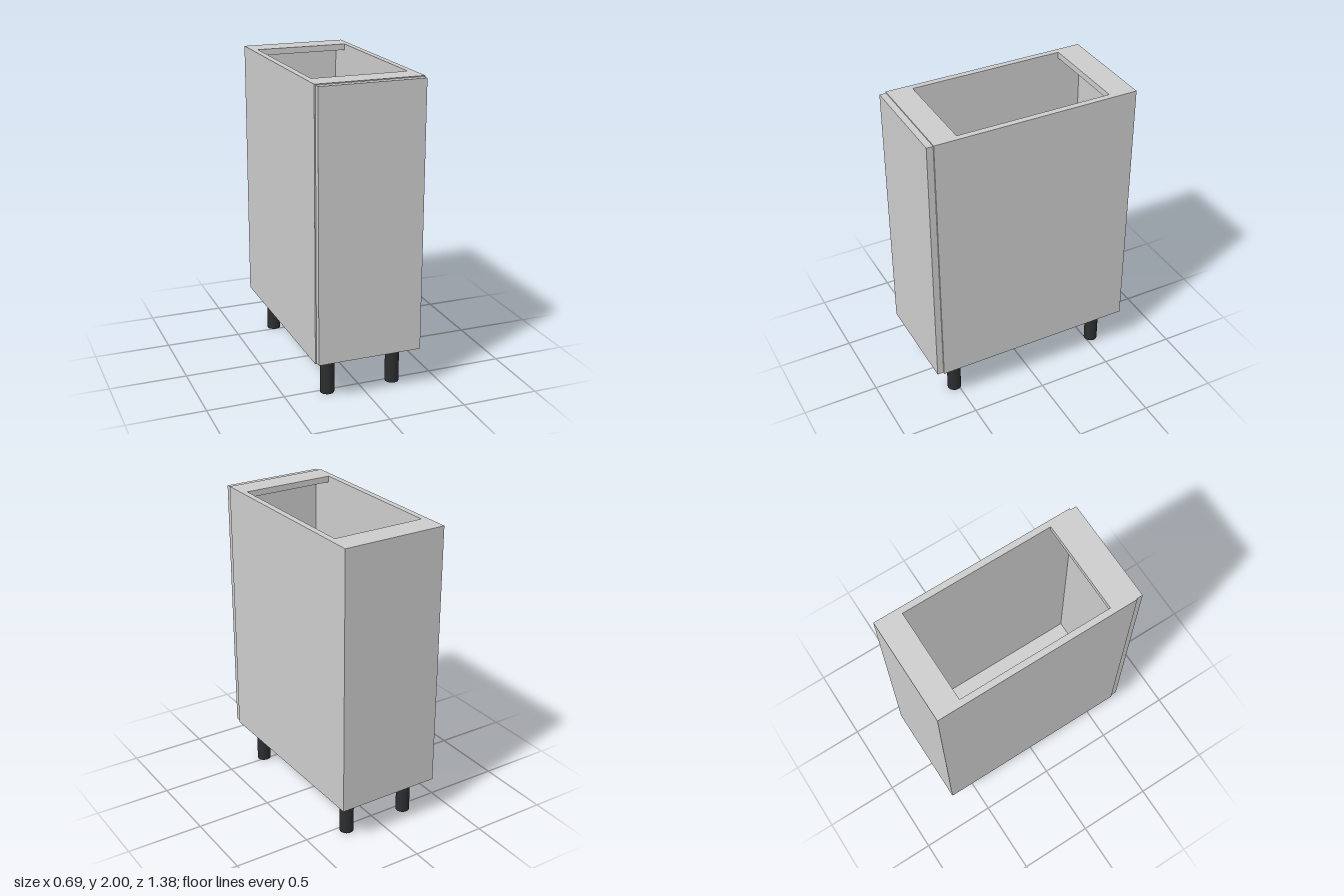
import * as THREE from 'three';

export function createModel() {
  const model = new THREE.Group();
  const panelMat = new THREE.MeshStandardMaterial({ color: 0xcccccc });
  const legMat = new THREE.MeshStandardMaterial({ color: 0x2b2d2e });

  // Box panel given by its min and max corners
  function panel(name, [x0, y0, z0], [x1, y1, z1]) {
    const mesh = new THREE.Mesh(new THREE.BoxGeometry(x1 - x0, y1 - y0, z1 - z0), panelMat);
    mesh.position.set((x0 + x1) / 2, (y0 + y1) / 2, (z0 + z1) / 2);
    mesh.name = name;
    model.add(mesh);
  }

  const W = 0.346, T = 0.04, inner = W - T;   // half width, board thickness
  const bottom = 0.265, top = 2;
  const back = -0.69, front = 0.647, backT = 0.008;

  // Carcass
  panel('leftSidePanel', [inner, bottom, back + backT], [W, top, front]);
  panel('rightSidePanel', [-W, bottom, back + backT], [-inner, top, front]);
  panel('bottomPanel', [-inner, bottom, back + backT], [inner, bottom + T, front]);
  panel('backPanel', [-W, bottom, back], [W, top, back + backT]);

  // Top rails
  panel('frontRail', [-inner, top - T, 0.488], [inner, top, front]);
  panel('rearRail', [-inner, top - T, back + backT], [inner, top, -0.522]);

  // Door, slightly smaller than the carcass
  panel('door', [-0.339, 0.272, front + 0.001], [0.339, 1.994, 0.69]);

  // Legs
  const legGeo = new THREE.CylinderGeometry(0.045, 0.045, bottom, 32);
  for (const [zName, z] of [['front', 0.524], ['rear', -0.541]]) {
    for (const [xName, x] of [['Left', 0.222], ['Right', -0.222]]) {
      const leg = new THREE.Mesh(legGeo, legMat);
      leg.position.set(x, bottom / 2, z);
      leg.name = `${zName}${xName}Leg`;
      model.add(leg);
    }
  }
  return model;
}
